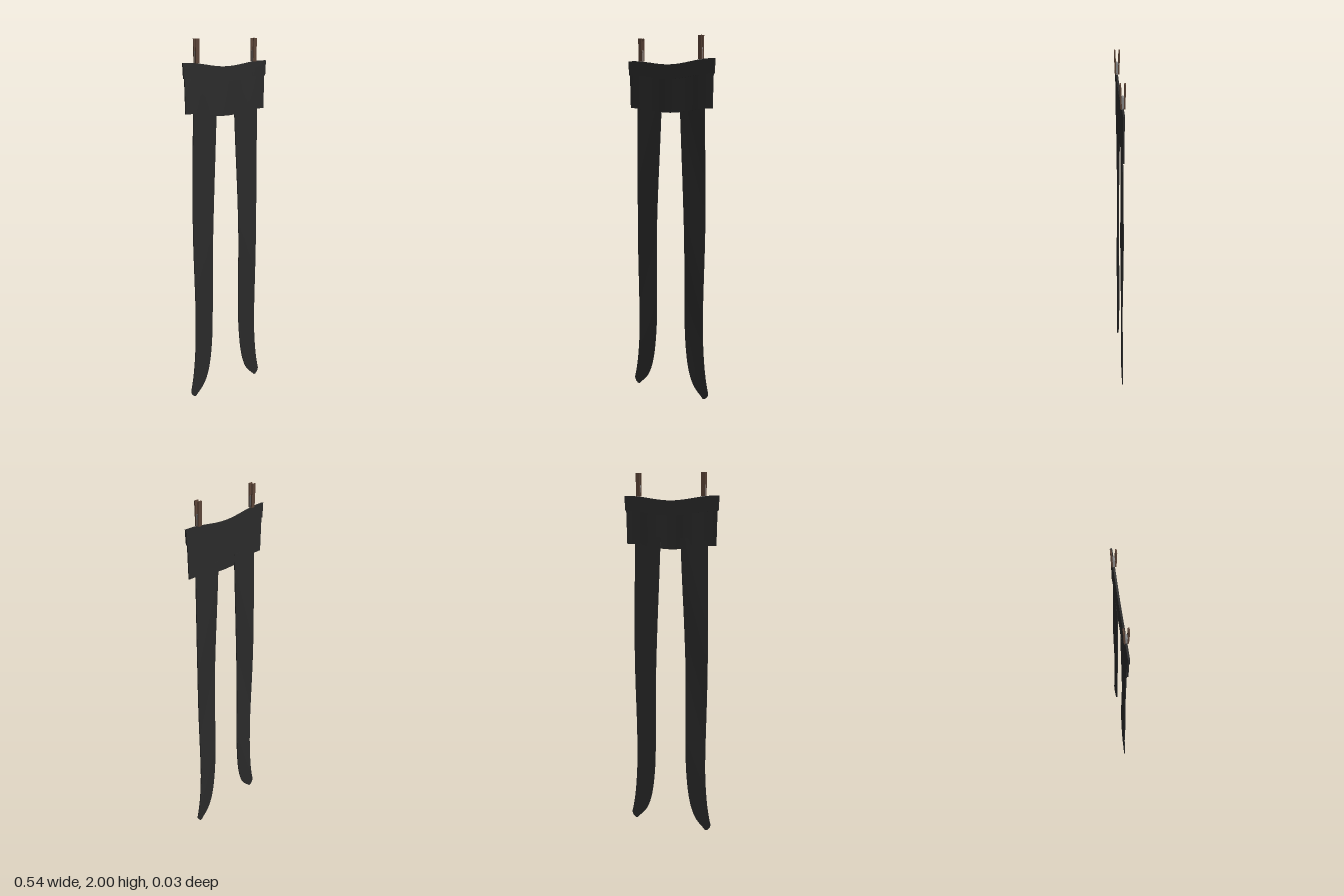
import * as THREE from 'three';
import { toCreasedNormals } from 'three/addons/utils/BufferGeometryUtils.js';

const cloth = new THREE.MeshStandardMaterial({ color: 0x2a2a2a, side: THREE.DoubleSide });
const wood = new THREE.MeshStandardMaterial({ color: 0x5c4538 });
const steel = new THREE.MeshStandardMaterial({ color: 0x8c8c8c });

// Thin closed cloth panel lofted through rows [y, xLeft, xRight];
// dip(x, t) shifts a point down, wave(x, y) bends the sheet in z.
function clothPanel(name, rows, thickness, dip, wave, steps = 1, cols = 16) {
  const curve = new THREE.CatmullRomCurve3(rows.map(([y, a]) => new THREE.Vector3(a, y, 0)), false, 'centripetal');
  const other = new THREE.CatmullRomCurve3(rows.map(([y, , b]) => new THREE.Vector3(b, y, 0)), false, 'centripetal');
  const n = (rows.length - 1) * steps;
  const ring = 2 * (cols + 1);
  const pos = [], idx = [];
  for (let r = 0; r <= n; r++) {
    const a = curve.getPoint(r / n), b = other.getPoint(r / n);
    for (let k = 0; k < ring; k++) {
      const front = k <= cols;
      const u = (front ? k : ring - 1 - k) / cols;
      const x = a.x + (b.x - a.x) * u;
      const y = a.y + (b.y - a.y) * u - dip(x, r / n);
      pos.push(x, y, wave(x, y) + (front ? 1 : -1) * thickness / 2);
    }
  }
  for (let r = 0; r < n; r++) {
    for (let k = 0; k < ring; k++) {
      const p = r * ring + k, q = r * ring + (k + 1) % ring;
      idx.push(p, p + ring, q, q, p + ring, q + ring);
    }
  }
  // Close the top and bottom hems
  for (let k = 0; k < cols; k++) {
    const m = ring - 1 - k, e = n * ring;
    idx.push(k, k + 1, m, k + 1, m - 1, m);
    idx.push(e + k, e + m, e + k + 1, e + k + 1, e + m, e + m - 1);
  }
  const g = new THREE.BufferGeometry();
  g.setAttribute('position', new THREE.Float32BufferAttribute(pos, 3));
  g.setIndex(idx);
  const mesh = new THREE.Mesh(toCreasedNormals(g, 0.7), cloth);
  mesh.name = name;
  return mesh;
}

function box(name, w, h, d, x, y, z, material) {
  const mesh = new THREE.Mesh(new THREE.BoxGeometry(w, h, d), material);
  mesh.name = name;
  mesh.position.set(x, y, z);
  return mesh;
}

// Clip: two wooden jaws joined by a steel spring
function makeClip(x) {
  const clip = new THREE.Group();
  clip.name = 'clip';
  for (const s of [-1, 1]) {
    const jaw = box('clipJaw', 0.022, 0.122, 0.007, x, 1.938, s * 0.0095, wood);
    jaw.rotation.x = s * 0.03;
    clip.add(jaw);
  }
  const spring = new THREE.Mesh(new THREE.CylinderGeometry(0.007, 0.007, 0.02, 12), steel);
  spring.name = 'clipSpring';
  spring.rotation.z = Math.PI / 2;
  spring.position.set(x, 1.93, 0);
  clip.add(spring, box('clipTongue', 0.018, 0.05, 0.01, x, 1.9, 0, steel));
  return clip;
}

export function createModel() {
  const model = new THREE.Group();
  model.name = 'hangingTrousers';
  const sag = (x) => 0.024 * (0.5 + 0.5 * Math.cos(Math.PI * Math.min(1, Math.abs(x) / 0.25)));

  // Waistband and the seat below it, both sagging in the middle
  model.add(clothPanel('waistband', [[1.88, -0.272, 0.272], [1.802, -0.268, 0.268]], 0.009, sag, () => 0, 2, 32));
  const fold = (x) => 0.0015 * Math.cos(x * 30);
  model.add(clothPanel('seat', [[1.81, -0.263, 0.263], [1.72, -0.261, 0.261], [1.623, -0.259, 0.259]],
    0.006, sag, fold, 4, 32));

  // Legs: [height, inner edge, outer edge], flaring outwards to a rounded foot
  const legRows = [
    [1.66, 0.058, 0.212], [1.4, 0.07, 0.216], [1.2, 0.08, 0.219], [0.9, 0.091, 0.219],
    [0.5, 0.093, 0.211], [0.34, 0.098, 0.212], [0.2, 0.113, 0.221], [0.12, 0.132, 0.231],
    [0.065, 0.157, 0.241], [0.035, 0.182, 0.247], [0.015, 0.203, 0.24], [0.002, 0.215, 0.227],
  ];
  for (const s of [-1, 1]) {
    const rows = legRows.map(([y, a, b]) => (s > 0 ? [y, a, b] : [y, -b, -a]));
    const ripple = (x, y) => -0.001 + 0.002 * Math.sin(y * 6 + Math.abs(x) * 20) * Math.min(1, y * 2);
    model.add(clothPanel(s > 0 ? 'leftLeg' : 'rightLeg', rows, 0.005, () => 0, ripple, 4, 8));
    model.add(makeClip(s * 0.187));
  }
  return model;
}
